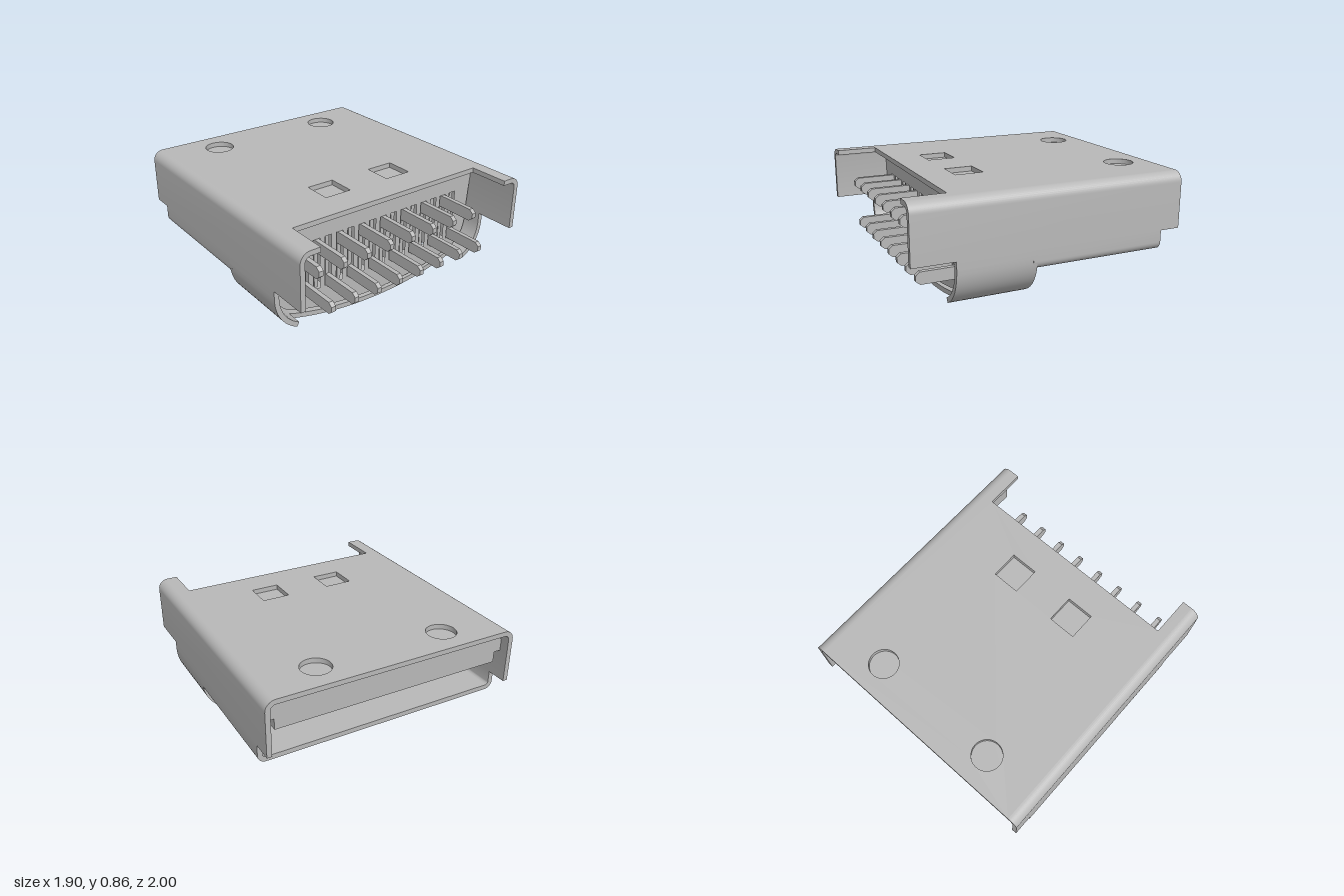
import * as THREE from 'three';
import { toCreasedNormals } from 'three/addons/utils/BufferGeometryUtils.js';

const T = 0.036; // sheet metal thickness
const V = (x, y) => new THREE.Vector2(x, y);

// Curved belly outline from the left wall, under the middle, to the right wall
function bellyPoints() {
  const p = new THREE.Path();
  p.moveTo(0.95, 0.46);
  p.lineTo(0.95, 0.4);
  p.bezierCurveTo(0.95, 0.25, 0.86, 0.135, 0.72, 0.1);
  p.quadraticCurveTo(0.38, 0.003, 0, 0.003);
  const half = p.getPoints(14);
  return [...half, ...half.slice(0, -1).reverse().map((q) => V(-q.x, q.y))];
}

// Shift a clockwise outline inwards by d
function inset(pts, d) {
  return pts.map((p, i) => {
    const a = pts[Math.max(i - 1, 0)], b = pts[Math.min(i + 1, pts.length - 1)];
    const t = b.clone().sub(a).normalize();
    return V(p.x + t.y * d, p.y - t.x * d);
  });
}

// Part of an outline between two x values, with interpolated ends
function cut(pts, x0, x1) {
  const out = [];
  pts.forEach((p, i) => {
    const q = pts[i - 1];
    if (q) for (const x of [x1, x0]) {
      if (q.x > x && p.x < x) out.push(q.clone().lerp(p, (q.x - x) / (q.x - p.x)));
    }
    if (p.x > x0 && p.x < x1) out.push(p);
  });
  return out;
}

export function createModel() {
  const model = new THREE.Group();
  model.name = 'connectorPlug';
  const metal = new THREE.MeshStandardMaterial({ color: 0xb8b8b8 });
  metal.name = 'grey';

  function add(geo, name) {
    const mesh = new THREE.Mesh(toCreasedNormals(geo, 0.5), metal);
    mesh.name = name;
    model.add(mesh);
    return mesh;
  }
  // Extrude a cross-section from z0 to z1
  function section(name, shape, z0, z1) {
    const g = new THREE.ExtrudeGeometry(shape, { depth: z1 - z0, bevelEnabled: false });
    return add(g.translate(0, 0, z0), name);
  }
  // Bent sheet following an outline
  function sheet(name, pts, z0, z1, t = T) {
    return section(name, new THREE.Shape([...pts, ...inset(pts, t).reverse()]), z0, z1);
  }
  // Side profile (z, y) extruded across x
  function blade(name, pts, x, w) {
    const g = new THREE.ExtrudeGeometry(new THREE.Shape(pts.map((p) => V(...p))), { depth: w, bevelEnabled: false });
    return add(g.rotateY(-Math.PI / 2).translate(x + w / 2, 0, 0), name);
  }
  const rectPath = (x, y, w, h) => new THREE.Path([
    V(x - w / 2, y - h / 2), V(x - w / 2, y + h / 2), V(x + w / 2, y + h / 2), V(x + w / 2, y - h / 2)]);

  // Top plate with front notch, two round and two square holes
  const R = 0.075;
  const e = 0.95 - R;
  const plate = new THREE.Shape([V(-e, -1), V(e, -1), V(e, 1), V(0.8, 1),
    V(0.8, 0.7), V(-0.8, 0.7), V(-0.8, 1), V(-e, 1)]);
  for (const s of [-1, 1]) {
    plate.holes.push(new THREE.Path().absarc(s * 0.49, -0.78, 0.108, 0, Math.PI * 2, true));
    plate.holes.push(rectPath(s * 0.268, 0.365, 0.208, 0.208));
  }
  const plateGeo = new THREE.ExtrudeGeometry(plate, { depth: T, bevelEnabled: false, curveSegments: 32 });
  add(plateGeo.rotateX(Math.PI / 2).translate(0, 0.868, 0), 'topPlate');

  // Side walls with rounded shoulders
  const arc = (cx, cy, r, a0, a1, n = 10) => Array.from({ length: n + 1 }, (_, i) => {
    const a = a0 + (a1 - a0) * i / n;
    return V(cx + r * Math.cos(a), cy + r * Math.sin(a));
  });
  const shoulder = [V(-0.95, 0.46), ...arc(-e, 0.868 - R, R, Math.PI, Math.PI / 2)];
  sheet('rightSideWall', shoulder, -1, 1);
  sheet('leftSideWall', shoulder.map((p) => V(-p.x, p.y)).reverse(), -1, 1);

  // Mating-end floor
  const floorR = arc(0.89, 0.376, 0.06, 0, -Math.PI / 2, 8);
  const floor = [V(0.95, 0.46), ...floorR, ...floorR.map((p) => V(-p.x, p.y)).reverse(), V(-0.95, 0.46)];
  sheet('lowerPlate', floor, -0.85, 0.16);

  // Curved cheeks
  const belly = bellyPoints();
  const knee = 0.78;
  const start = belly.slice(0, 2);
  const cheek = [...start, ...cut(belly, knee, 0.9499)];
  sheet('leftCheek', cheek, 0.13, 0.7);
  sheet('rightCheek', cheek.map((p) => V(-p.x, p.y)).reverse(), 0.13, 0.7);

  // Belly straps: outer front strap and inner rear strap
  sheet('outerStrap', cut(belly, -0.55, 0.55), 0.4, 0.58);
  const raised = inset(belly, 0.04);
  sheet('innerStrap', cut(raised, -0.55, 0.55), 0.13, 0.44, 0.02);
  for (const s of [-1, 1]) {
    const strip = (name, pts, a, b, z0, z1, t) => {
      const c = s > 0 ? cut(pts, a, b) : cut(pts, -b, -a);
      sheet(name, c, z0, z1, t);
    };
    strip('rearStrapEnd', raised, 0.55, knee, 0.13, 0.29, 0.02);
    // Latch window frame
    strip('latchFrameFront', belly, 0.55, knee, 0.5, 0.58);
    strip('latchFrameRear', belly, 0.55, knee, 0.25, 0.31);
    strip('latchFrameInner', belly, 0.55, 0.595, 0.31, 0.5);
    strip('latchFrameOuter', belly, 0.735, knee, 0.31, 0.5);
    strip('latchTab', belly, 0.64, 0.735, 0.36, 0.47);
  }

  // Insulator body with contact slots
  const pitch = 0.0967;
  const xs = Array.from({ length: 16 }, (_, i) => (i - 7.5) * pitch);
  const inner = inset(belly, 0.062);
  const body = new THREE.Shape([...inner, V(-0.912, 0.77), V(-0.86, 0.83), V(0.86, 0.83), V(0.912, 0.77)]);
  for (const x of xs) body.holes.push(rectPath(x, 0.457, 0.056, 0.385));
  section('insulatorBody', body, 0.17, 0.58);

  // Insulator tongue under the top plate
  section('insulatorTongue', new THREE.Shape([V(-0.86, 0.6), V(0.86, 0.6), V(0.86, 0.68), V(0.912, 0.68),
    V(0.912, 0.77), V(0.86, 0.83), V(-0.86, 0.83), V(-0.912, 0.77), V(-0.912, 0.68), V(-0.86, 0.68)]), -0.93, 0.17);

  // Contacts with pins alternating between two rows
  xs.forEach((x, i) => {
    const y = i % 2 ? 0.262 : 0.562;
    blade('pin', [[0.5, y], [0.87, y], [0.9, y + 0.025], [0.9, y + 0.063], [0.87, y + 0.088], [0.5, y + 0.088]], x, 0.034);
    blade('contactPlate', [[0.5, 0.27], [0.57, 0.27], [0.57, 0.645], [0.5, 0.645]], x, 0.03);
    blade('contactBlade', [[-0.88, 0.602], [-0.74, 0.53], [-0.6, 0.56], [0.52, 0.56], [0.52, 0.602]], x, 0.034);
  });
  return model;
}
